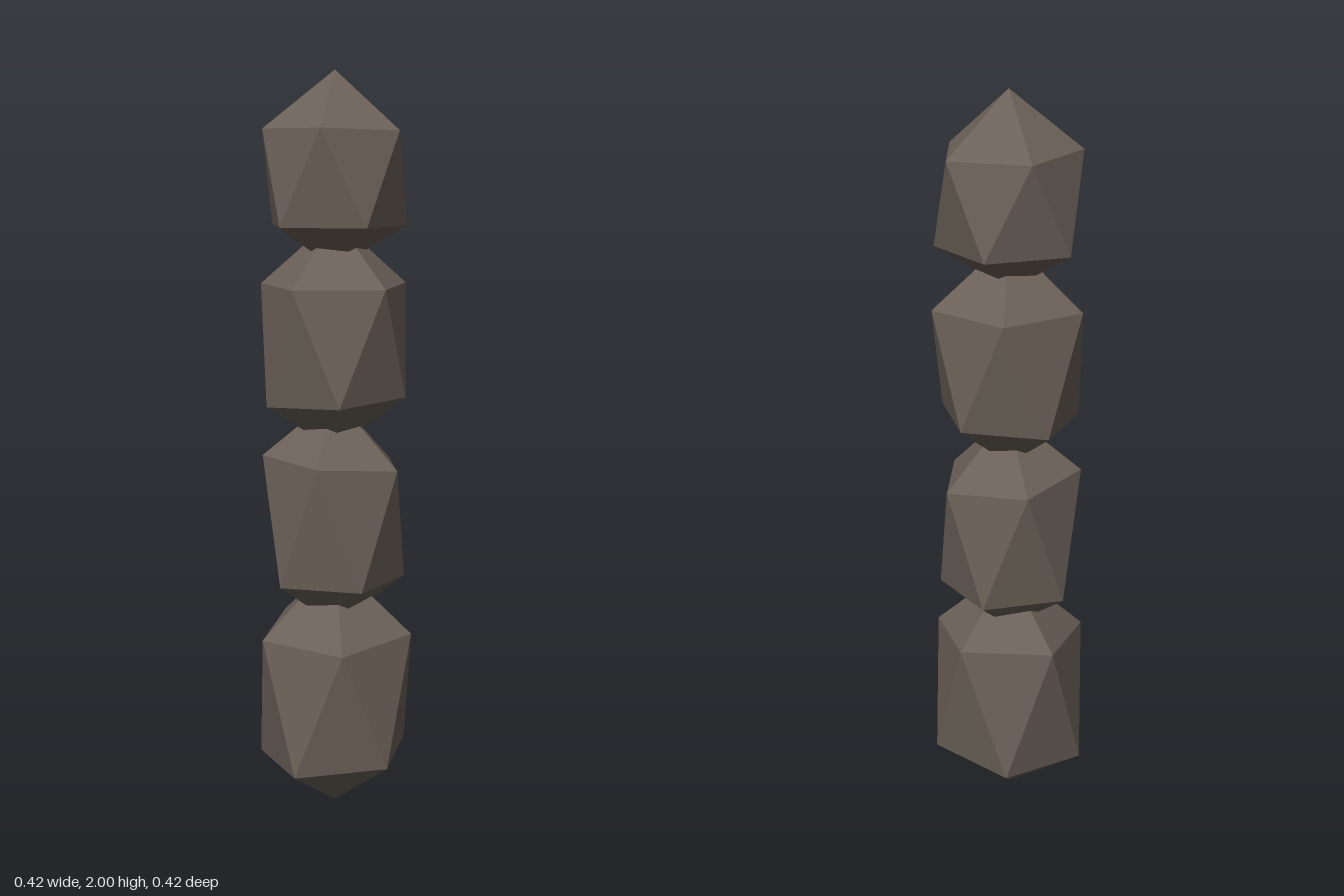
import * as THREE from 'three';

const SIDES = 5;

// Ring of five corners; tiltX / tiltZ lean the ring slightly.
function ring({ y, r, tiltX = 0, tiltZ = 0 }, startDeg) {
  return Array.from({ length: SIDES }, (_, i) => {
    const a = THREE.MathUtils.degToRad(startDeg + (i * 360) / SIDES);
    const x = r * Math.cos(a), z = r * Math.sin(a);
    return new THREE.Vector3(x, y + tiltX * x + tiltZ * z, z);
  });
}

// Stretched twenty-sided stone: two tips and two staggered rings.
function stoneGeometry({ bottom, lower, upper, top, turn }) {
  const B = new THREE.Vector3(0, bottom, 0);
  const T = new THREE.Vector3(0, top, 0);
  const L = ring(lower, turn);
  const U = ring(upper, turn + 180 / SIDES);
  const points = [];
  for (let i = 0; i < SIDES; i++) {
    const j = (i + 1) % SIDES;
    points.push(
      B, L[i], L[j],
      U[i], L[j], L[i],
      L[j], U[i], U[j],
      T, U[j], U[i]
    );
  }
  const geometry = new THREE.BufferGeometry().setFromPoints(points);
  geometry.computeVertexNormals();
  return geometry;
}

// Stones from the ground up
const STONES = [
  { name: 'baseStone', turn: 10.5, bottom: 0, top: 0.69,
    lower: { y: 0.142, r: 0.213, tiltX: 0.05, tiltZ: -0.05 },
    upper: { y: 0.497, r: 0.213, tiltX: -0.04, tiltZ: -0.07 } },
  { name: 'lowerMiddleStone', turn: 30, bottom: 0.51, top: 1.145,
    lower: { y: 0.645, r: 0.19 },
    upper: { y: 0.97, r: 0.195, tiltX: -0.05, tiltZ: 0.07 } },
  { name: 'upperMiddleStone', turn: 48.5, bottom: 1.0, top: 1.62,
    lower: { y: 1.137, r: 0.194, tiltX: 0.05, tiltZ: -0.04 },
    upper: { y: 1.443, r: 0.205 } },
  { name: 'topStone', turn: 27, bottom: 1.485, top: 2,
    lower: { y: 1.6, r: 0.193 },
    upper: { y: 1.846, r: 0.19, tiltZ: 0.03 } },
];

export function createModel() {
  const group = new THREE.Group();
  group.name = 'stonePillar';
  const rock = new THREE.MeshStandardMaterial({ color: 0x6b6158, flatShading: true });
  rock.name = 'rock';
  for (const stone of STONES) {
    const mesh = new THREE.Mesh(stoneGeometry(stone), rock);
    mesh.name = stone.name;
    group.add(mesh);
  }
  return group;
}
